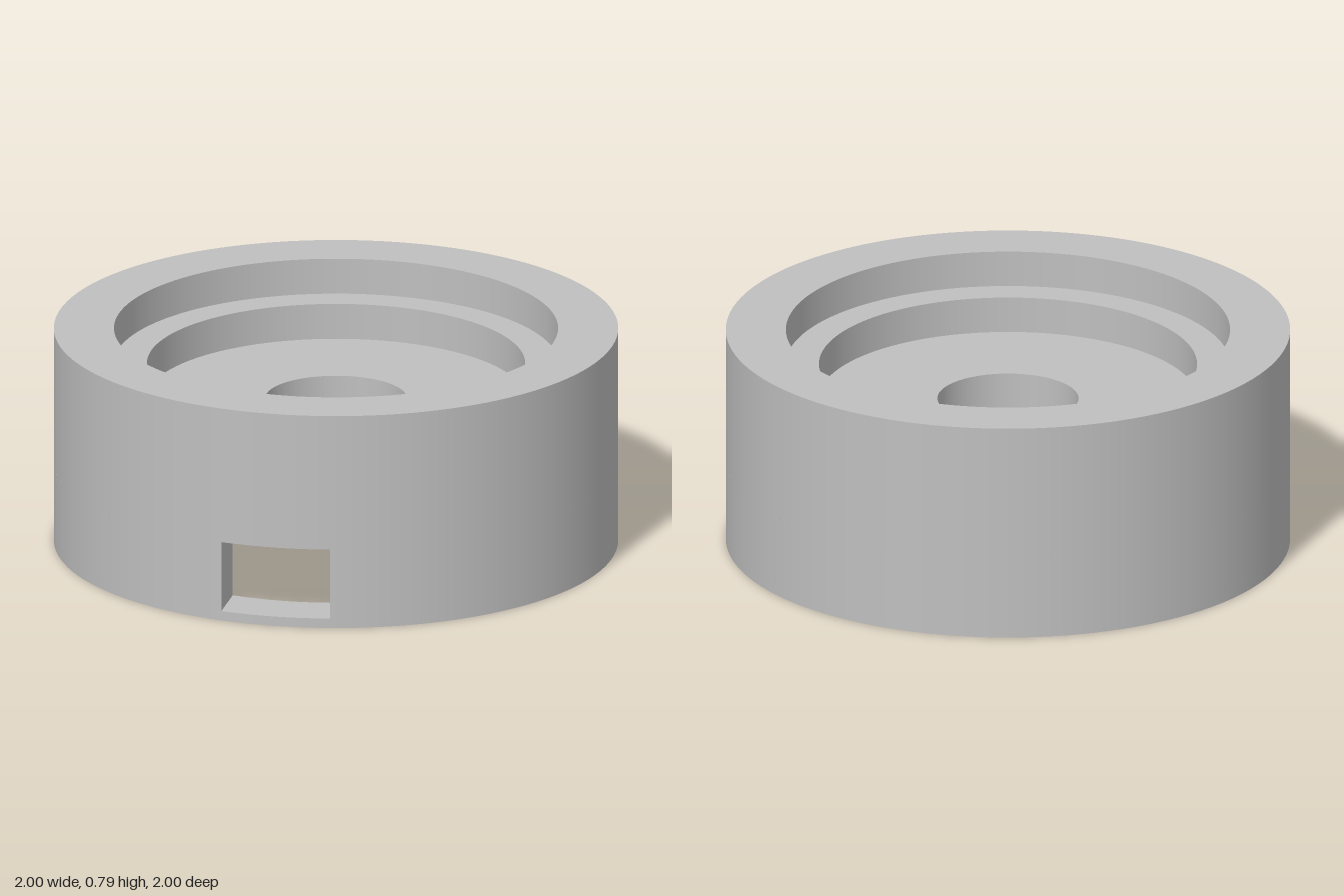
import * as THREE from 'three';

const SEGMENTS = 128;
const OUTER = 1, CAVITY = 0.82, HEIGHT = 0.79;
const HALF = 0.197, SILL = 0.035, LINTEL = 0.292; // side window

export function createModel() {
  const group = new THREE.Group();
  group.name = 'steppedRing';
  const grey = new THREE.MeshStandardMaterial({ color: 0xbfbfbf });
  grey.name = 'grey';

  const add = (name, geometry) => {
    const mesh = new THREE.Mesh(geometry, grey);
    mesh.name = name;
    group.add(mesh);
    return mesh;
  };

  // One revolved face between two [radius, y] points; gap leaves an opening at +z
  const ring = (name, a, b, gap = 0) => add(name, new THREE.LatheGeometry(
    [new THREE.Vector2(...a), new THREE.Vector2(...b)], SEGMENTS, gap, Math.PI * 2 - 2 * gap));

  // Stepped recess, central hole and underside, in order from the outer rim
  const steps = [
    ['topRim', [OUTER, HEIGHT]],
    ['upperRecessWall', [0.787, HEIGHT]],
    ['ledge', [0.787, 0.66]],
    ['lowerRecessWall', [0.67, 0.66]],
    ['recessFloor', [0.67, 0.53]],
    ['centralHole', [0.25, 0.53]],
    ['cavityCeiling', [0.25, 0.355]],
    ['', [CAVITY, 0.355]],
  ];
  for (let i = 0; i < steps.length - 1; i++) ring(steps[i][0], steps[i][1], steps[i + 1][1]);
  ring('bottomRim', [CAVITY, 0], [OUTER, 0]);

  // Outer and cavity walls, in three bands so the middle one can be cut by the window
  const outerGap = Math.asin(HALF / OUTER), innerGap = Math.asin(HALF / CAVITY);
  ring('outerWallBottom', [OUTER, 0], [OUTER, SILL]);
  ring('outerWallMiddle', [OUTER, SILL], [OUTER, LINTEL], outerGap);
  ring('outerWallTop', [OUTER, LINTEL], [OUTER, HEIGHT]);
  ring('cavityWallTop', [CAVITY, 0.355], [CAVITY, LINTEL]);
  ring('cavityWallMiddle', [CAVITY, LINTEL], [CAVITY, SILL], innerGap);
  ring('cavityWallBottom', [CAVITY, SILL], [CAVITY, 0]);

  // Window sill and lintel, bounded by the two wall arcs
  const slot = new THREE.Shape();
  slot.absarc(0, 0, OUTER, Math.PI / 2 - outerGap, Math.PI / 2 + outerGap, false);
  slot.absarc(0, 0, CAVITY, Math.PI / 2 + innerGap, Math.PI / 2 - innerGap, true);
  add('windowSill', new THREE.ShapeGeometry(slot, 16).rotateX(-Math.PI / 2).rotateY(Math.PI))
    .position.y = SILL;
  add('windowLintel', new THREE.ShapeGeometry(slot, 16).rotateX(Math.PI / 2))
    .position.y = LINTEL;

  // Parallel window sides
  const zOut = Math.sqrt(OUTER ** 2 - HALF ** 2), zIn = Math.sqrt(CAVITY ** 2 - HALF ** 2);
  for (const side of [-1, 1]) {
    const jamb = new THREE.PlaneGeometry(zOut - zIn, LINTEL - SILL).rotateY(-side * Math.PI / 2);
    add(side > 0 ? 'windowLeftSide' : 'windowRightSide', jamb)
      .position.set(side * HALF, (SILL + LINTEL) / 2, (zOut + zIn) / 2);
  }
  return group;
}
